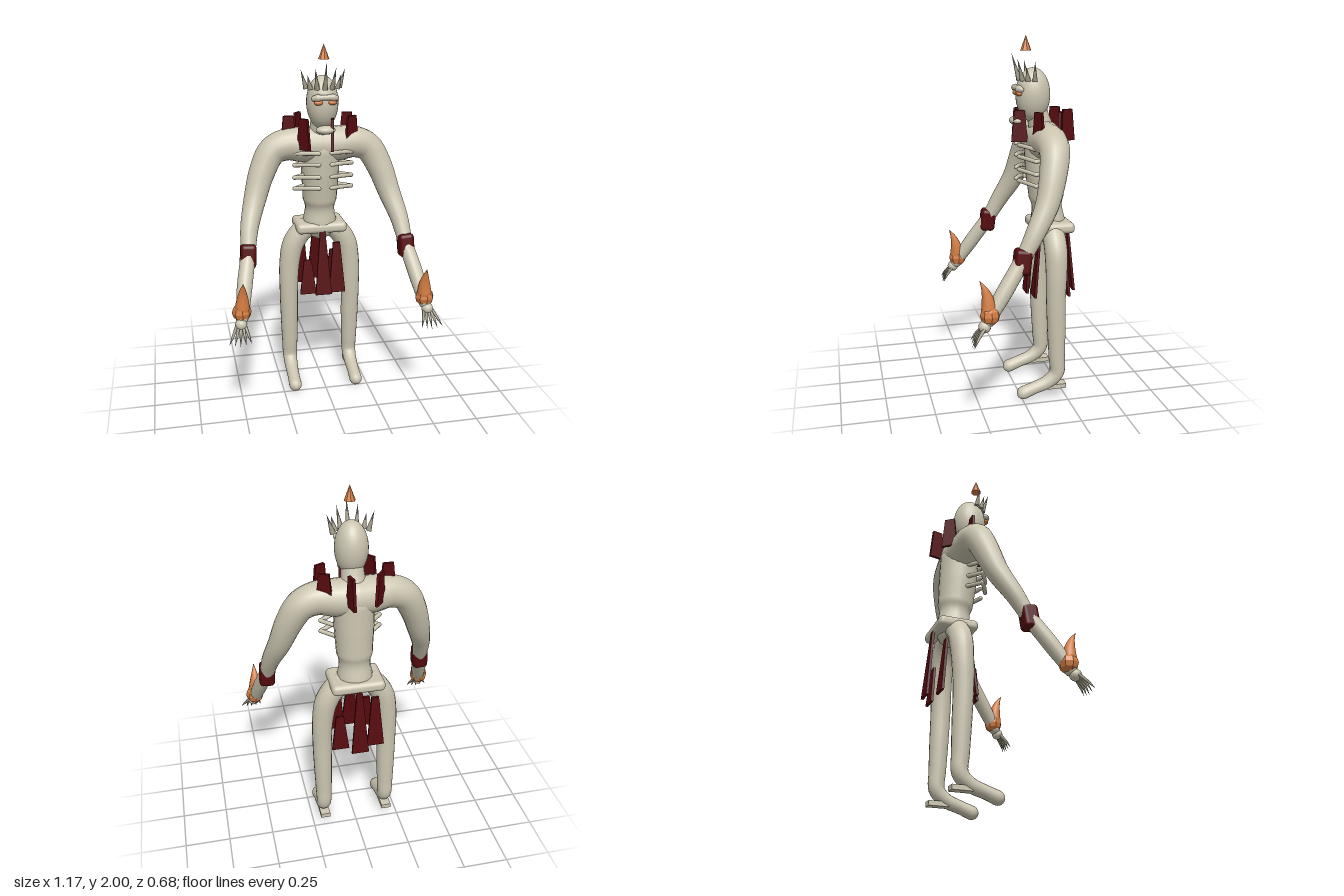
import * as THREE from 'three';
import { RoundedBoxGeometry } from 'three/addons/geometries/RoundedBoxGeometry.js';

const material = (name, color, extra = {}) => {
  const m = new THREE.MeshStandardMaterial({ color, ...extra });
  m.name = name;
  return m;
};
const V = (x, y, z) => new THREE.Vector3(x, y, z);

// Smooth round-ended limb through points [x, y, z, radius]
function limb(points, segments = 32, sides = 18) {
  const path = new THREE.CatmullRomCurve3(points.map(p => V(p[0], p[1], p[2])));
  const size = new THREE.CatmullRomCurve3(points.map(p => V(p[3], 0, 0)));
  const rings = [];
  const dome = 4;
  const cap = (t, dir, k) => {
    const a = (k / dome) * Math.PI / 2, r = Math.max(size.getPoint(t).x, 0.0005), tan = path.getTangent(t);
    rings.push([path.getPoint(t).addScaledVector(tan, dir * r * Math.sin(a)), tan, Math.max(r * Math.cos(a), 0.0001)]);
  };
  for (let k = dome; k > 0; k--) cap(0, -1, k);
  for (let i = 0; i <= segments; i++) cap(i / segments, 1, 0);
  for (let k = 1; k <= dome; k++) cap(1, 1, k);
  const pos = [], index = [];
  let normal = Math.abs(rings[0][1].z) < 0.8 ? V(0, 0, 1) : V(1, 0, 0);
  rings.forEach(([c, tan, r], i) => {
    normal = normal.clone().addScaledVector(tan, -normal.dot(tan)).normalize();
    const side = tan.clone().cross(normal);
    for (let j = 0; j < sides; j++) {
      const a = j / sides * Math.PI * 2;
      const p = c.clone().addScaledVector(normal, r * Math.cos(a)).addScaledVector(side, r * Math.sin(a));
      pos.push(p.x, p.y, p.z);
      if (i < rings.length - 1) {
        const u = i * sides + j, v = i * sides + (j + 1) % sides;
        index.push(u, v, u + sides, v, v + sides, u + sides);
      }
    }
  });
  const g = new THREE.BufferGeometry();
  g.setAttribute('position', new THREE.Float32BufferAttribute(pos, 3));
  g.setIndex(index);
  g.computeVertexNormals();
  return g;
}

// Flat plate narrowing from bottom width to top width
function taperedPlate(bottom, top, height, depth) {
  const g = new THREE.BoxGeometry(1, height, depth);
  const p = g.attributes.position;
  for (let i = 0; i < p.count; i++) p.setX(i, p.getX(i) * (p.getY(i) > 0 ? top : bottom));
  g.computeVertexNormals();
  return g;
}

export function createModel() {
  const model = new THREE.Group();
  const bone = material('bone', 0xcbc5b0);
  const claw = material('claw grey', 0x9c9784);
  const cloth = material('dark red', 0x560a0e);
  const ember = material('ember orange', 0xd47d42);
  const emberFacet = material('ember orange faceted', 0xd47d42, { flatShading: true });
  const add = (name, geometry, mat, x = 0, y = 0, z = 0, parent = model) => {
    const m = new THREE.Mesh(geometry, mat);
    m.name = name;
    m.position.set(x, y, z);
    parent.add(m);
    return m;
  };
  const up = V(0, 1, 0);

  // Torso, neck and pelvis
  add('torso', limb([[0, 0.98, -0.19, 0.097], [0, 1.12, -0.18, 0.097], [0, 1.28, -0.167, 0.106],
    [0, 1.42, -0.16, 0.108]]), bone);
  add('neck', limb([[0, 1.48, -0.155, 0.075], [0, 1.55, -0.135, 0.062], [0, 1.63, -0.115, 0.055]], 10), bone);
  add('pelvis', new RoundedBoxGeometry(0.29, 0.06, 0.22, 3, 0.025), bone, 0, 0.967, -0.2);

  // Head, jaw, brow and eyes
  add('head', new THREE.SphereGeometry(1, 28, 20), bone, 0, 1.687, -0.1).scale.set(0.087, 0.145, 0.094);
  add('jaw', new THREE.SphereGeometry(1, 20, 12), bone, 0, 1.552, -0.01).scale.set(0.054, 0.024, 0.04);
  add('brow', limb([[-0.06, 1.72, -0.02, 0.016], [-0.03, 1.725, -0.008, 0.016], [0, 1.725, -0.005, 0.015],
    [0.03, 1.725, -0.008, 0.016], [0.06, 1.72, -0.02, 0.016]], 16, 10), bone);
  for (const s of [-1, 1])
    add('eye', new THREE.SphereGeometry(1, 14, 10), ember, s * 0.038, 1.697, -0.014).scale.set(0.025, 0.013, 0.016);

  // Crown of spikes around the front of the head
  for (let i = -3; i <= 3; i++) {
    const a = i * 0.45, h = [0.15, 0.12, 0.08, 0.105][Math.abs(i)];
    const dir = V(Math.sin(a) * 0.3, 1, Math.cos(a) * 0.3).normalize();
    const c = V(Math.sin(a) * 0.093, 1.765, -0.105 + Math.cos(a) * 0.08).addScaledVector(dir, h / 2);
    add('crownSpike', new THREE.ConeGeometry(0.015, h, 8), claw, c.x, c.y, c.z).quaternion.setFromUnitVectors(up, dir);
  }
  add('floatingFlame', new THREE.ConeGeometry(0.03, 0.08, 8), emberFacet, 0, 1.96, -0.06);

  // Ring of collar shards
  for (let i = 0; i < 7; i++) {
    const a = Math.PI + i * Math.PI * 2 / 7;
    add('collarShard', taperedPlate(0.09, 0.055, 0.17, 0.016), cloth,
      Math.cos(a) * 0.18, 1.525, -0.15 + Math.sin(a) * 0.136).rotation.y = a;
  }

  // Loincloth strips, front and back: centre one stands furthest out
  for (const [name, turn, sideX, sideZ] of [['frontLoincloth', 0, 0.085, 0.098], ['backLoincloth', Math.PI, 0.098, 0.072]]) {
    const group = new THREE.Group();
    group.name = name;
    group.position.z = -0.2;
    group.rotation.y = turn;
    model.add(group);
    for (const [x, h, top, z] of [[0, 0.375, 0.03, 0.12], [sideX, 0.3, 0.04, sideZ], [-sideX, 0.205, 0.042, sideZ]])
      add('clothStrip', taperedPlate(0.095, top, h, 0.014), cloth, x, 0.575 + h / 2, z, group).rotation.x = -0.09;
  }

  for (const s of [-1, 1]) {
    // Ribs bending out from the breastbone and back to the trunk
    for (const y of [1.423, 1.36, 1.29, 1.228]) {
      add('ribFront', limb([[s * 0.035, y, -0.015, 0.012], [s * 0.1, y - 0.003, -0.045, 0.012],
        [s * 0.16, y - 0.01, -0.08, 0.012]], 8, 8), bone);
      add('ribSide', limb([[s * 0.16, y - 0.01, -0.08, 0.012], [s * 0.09, y - 0.012, -0.15, 0.012]], 4, 8), bone);
    }

    // Shoulder and arm in one sweep
    add('arm', limb([[0, 1.445, -0.16, 0.106], [s * 0.09, 1.447, -0.154, 0.1], [s * 0.19, 1.452, -0.15, 0.088],
      [s * 0.27, 1.42, -0.147, 0.08], [s * 0.33, 1.32, -0.125, 0.073], [s * 0.382, 1.17, -0.08, 0.062],
      [s * 0.425, 1.03, -0.005, 0.05], [s * 0.445, 0.9, 0.068, 0.041], [s * 0.475, 0.77, 0.155, 0.042],
      [s * 0.505, 0.62, 0.255, 0.034]], 48), bone);
    const cuff = add('cuff', new RoundedBoxGeometry(0.086, 0.132, 0.088, 3, 0.022), cloth, s * 0.444, 0.897, 0.066);
    cuff.rotation.set(-0.12, 0, s * 0.06);

    // Wrist bulb with its upward horn
    add('wristBulb', new THREE.SphereGeometry(0.052, 8, 6), emberFacet, s * 0.505, 0.65, 0.245);
    add('wristHorn', limb([[s * 0.502, 0.67, 0.25, 0.041], [s * 0.499, 0.73, 0.256, 0.031],
      [s * 0.498, 0.785, 0.272, 0.016], [s * 0.497, 0.828, 0.295, 0.001]], 12, 10), ember);

    // Hand and claws
    add('hand', new THREE.SphereGeometry(0.032, 14, 10), bone, s * 0.513, 0.593, 0.275);
    for (let i = -2; i <= 2; i++) {
      const x = 0.515 + i * 0.011, tip = 0.525 + i * 0.029, ty = 0.495 + Math.abs(i) * 0.007;
      add('claw', limb([[s * x, 0.59, 0.28, 0.009], [s * (x * 0.45 + tip * 0.55), 0.545, 0.318, 0.007],
        [s * tip, ty, 0.34, 0.0005]], 10, 8), claw);
    }

    // Leg, foot and heel
    add('leg', limb([[0, 0.965, -0.195, 0.05], [s * 0.09, 0.94, -0.195, 0.062], [s * 0.152, 0.86, -0.195, 0.063],
      [s * 0.178, 0.74, -0.193, 0.059], [s * 0.185, 0.58, -0.19, 0.054], [s * 0.184, 0.4, -0.195, 0.051],
      [s * 0.183, 0.24, -0.2, 0.046], [s * 0.183, 0.14, -0.2, 0.042], [s * 0.183, 0.09, -0.15, 0.038],
      [s * 0.183, 0.06, -0.07, 0.035], [s * 0.183, 0.037, -0.007, 0.037]], 56), bone);
    add('heel', taperedPlate(0.055, 0.055, 0.11, 0.026), bone, s * 0.183, 0.066, -0.195).rotation.x = -Math.PI / 2;
  }
  return model;
}
